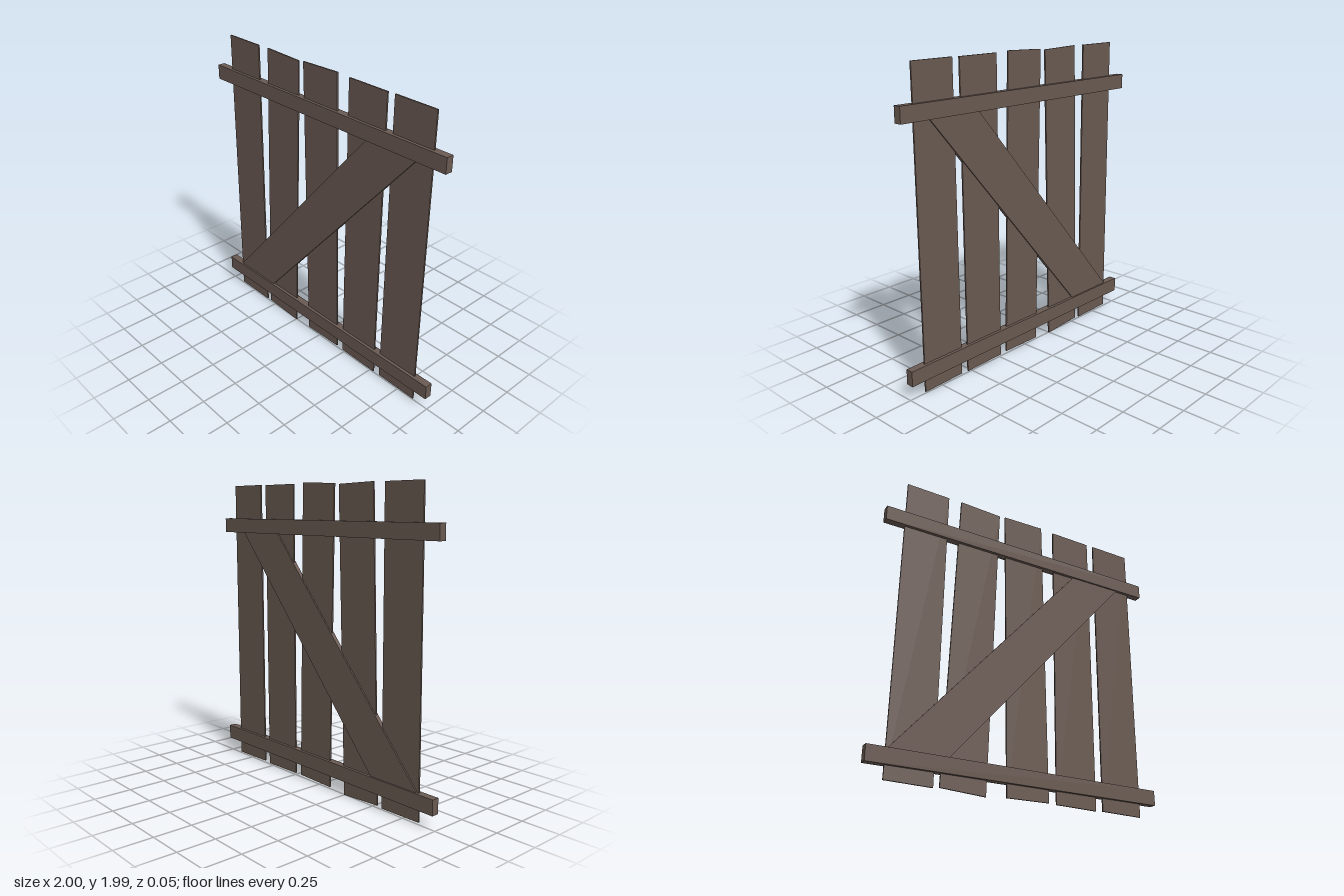
import * as THREE from 'three';

const wood = new THREE.MeshStandardMaterial({ color: 0x6a5a52 });
wood.name = 'weathered brown wood';

// Flat board: four front corners (counter-clockwise), centred on z = 0
function board(name, corners, thickness) {
  const shape = new THREE.Shape(corners.map(([x, y]) => new THREE.Vector2(x, y)));
  const geometry = new THREE.ExtrudeGeometry(shape, { depth: thickness, bevelEnabled: false });
  geometry.translate(0, 0, -thickness / 2);
  const mesh = new THREE.Mesh(geometry, wood);
  mesh.name = name;
  return mesh;
}

export function createModel() {
  const gate = new THREE.Group();
  gate.name = 'plankGate';

  // Five slightly crooked upright planks: bottom left, bottom right, top right, top left
  const planks = [
    [[-0.88, 0.015], [-0.582, 0.01], [-0.571, 1.983], [-0.866, 1.985]],
    [[-0.543, 0.017], [-0.247, 0], [-0.184, 1.975], [-0.479, 1.985]],
    [[-0.109, 0.013], [0.185, 0.018], [0.153, 1.99], [-0.142, 1.982]],
    [[0.24, 0.015], [0.535, 0.01], [0.548, 1.982], [0.251, 1.984]],
    [[0.588, 0.015], [0.885, 0.01], [0.898, 1.982], [0.602, 1.984]],
  ];
  planks.forEach((corners, i) => gate.add(board(`plank${i + 1}`, corners, 0.01)));

  // Diagonal brace, its ends tucked into the rails
  gate.add(board('diagonalBrace', [[-0.888, 0.175], [-0.51, 0.175], [0.808, 1.68], [0.43, 1.68]], 0.028));

  // Horizontal rails enclosing the planks
  for (const [name, y] of [['lowerRail', 0.147], ['upperRail', 1.705]]) {
    const rail = new THREE.Mesh(new THREE.BoxGeometry(2, 0.098, 0.05), wood);
    rail.name = name;
    rail.position.y = y;
    gate.add(rail);
  }
  return gate;
}
